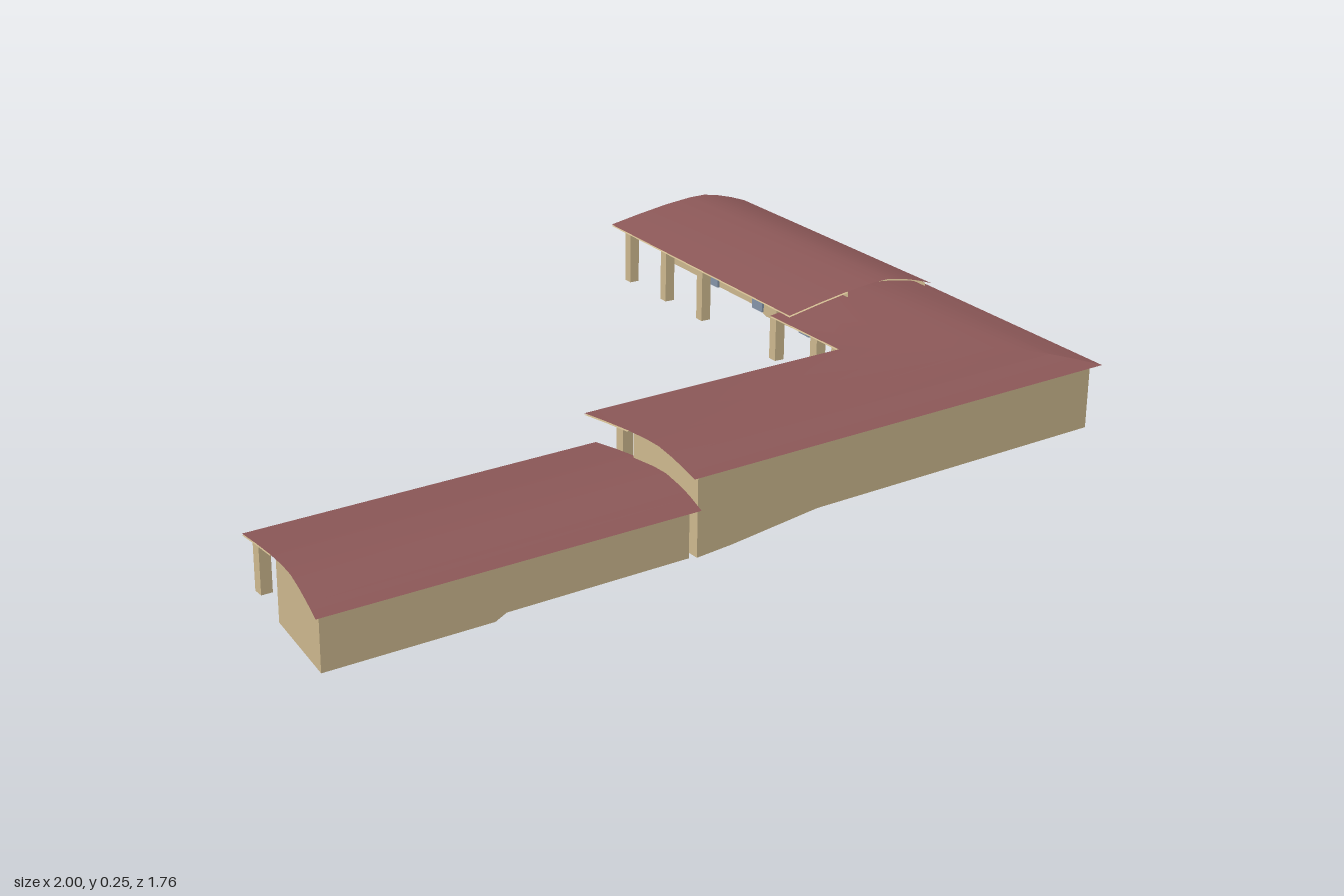
import * as THREE from 'three';
import { toCreasedNormals } from 'three/addons/utils/BufferGeometryUtils.js';

const lerp = THREE.MathUtils.lerp;
// Roof arch: [fraction from outer to inner eave, fraction of rise]
const ARCH = [[0, 0], [0.1, 0.42], [0.2, 0.75], [0.31, 1], [0.42, 0.99], [0.6, 0.78], [0.8, 0.42], [1, 0]];
const OUTER = 0.045, INNER = 0.6;

function arch(t) {
  for (let i = 1; i < ARCH.length; i++) {
    const [a, b] = [ARCH[i - 1], ARCH[i]];
    if (t <= b[0]) return lerp(a[1], b[1], (t - a[0]) / (b[0] - a[0]));
  }
  return 0;
}

// Each section is [outer x, outer z, inner x, inner z]; floor is [section, height]
const WINGS = [
  {
    name: 'lowWing', eave: 0.125, rise: 0.035,
    sections: [[-0.99, 0.88, -1, 0.46], [-0.12, 0.755, -0.16, 0.335]],
    floor: [[0, 0], [0.45, 0], [0.48, 0.013], [1, 0.015]],
    ends: [0.015, 0.98], walls: [0.015, 0.98],
    posts: [0.03, 0.36, 0.68, 0.98], doors: [0.3, 0.75], postBase: 0.01,
  },
  {
    name: 'cornerWing', eave: 0.2, rise: 0.026,
    sections: [[-0.14, 0.76, -0.19, 0.34], [1, 0.58, 0.51, 0.235], [0.945, -0.1, 0.48, -0.035]],
    floor: [[0, 0.01], [0.1, 0.018], [0.3, 0.043], [1, 0.045], [2, 0.045]],
    ends: [0.02, 1.97], walls: [0.02, 1.985],
    posts: [0.1, 0.4, 0.7, 0.98, 1.6], doors: [0.35, 0.6, 0.8], postBase: 0.02,
  },
  {
    name: 'highWing', eave: 0.208, rise: 0.037,
    sections: [[0.95, -0.055, 0.51, 0.005], [0.87, -0.88, 0.44, -0.835]],
    floor: [[0, 0.08], [0.05, 0.077], [0.41, 0.065], [0.47, 0.08], [1, 0.08]],
    ends: [0.98], walls: [0, 0.98],
    posts: [0.14, 0.54, 0.75, 0.965], doors: [0.2, 0.45, 0.7], postBase: 0.05,
  },
];

// Plan and roof height at station s along a wing, fraction t across it
function point(w, s, t, drop = 0) {
  const i = Math.min(Math.floor(s), w.sections.length - 2), k = s - i;
  const c = w.sections[i].map((v, j) => lerp(v, w.sections[i + 1][j], k));
  return new THREE.Vector3(lerp(c[0], c[2], t), w.eave + w.rise * arch(t) - drop, lerp(c[1], c[3], t));
}

function floorAt(w, s) {
  for (let i = 1; i < w.floor.length; i++) {
    const [a, b] = [w.floor[i - 1], w.floor[i]];
    if (s <= b[0]) return lerp(a[1], b[1], (s - a[0]) / (b[0] - a[0]));
  }
  return w.floor.at(-1)[1];
}

// Sheet from rows of points
function sheet(rows) {
  const n = rows[0].length, index = [];
  for (let r = 0; r < rows.length - 1; r++) {
    for (let c = 0; c < n - 1; c++) {
      const a = r * n + c;
      index.push(a, a + 1, a + n, a + 1, a + n + 1, a + n);
    }
  }
  const g = new THREE.BufferGeometry().setFromPoints(rows.flat());
  g.setIndex(index);
  return toCreasedNormals(g, 0.2);
}

export function createModel() {
  const model = new THREE.Group();
  const material = (name, color) => new THREE.MeshStandardMaterial({ name, color, side: THREE.DoubleSide });
  const roofRed = material('roof red', 0x8c5858);
  const wallTan = material('wall tan', 0xcfba90);
  const doorBlue = material('door blue grey', 0x8796aa);

  for (const w of WINGS) {
    const group = new THREE.Group();
    group.name = w.name;
    model.add(group);
    const add = (name, geometry, mat) => {
      const mesh = new THREE.Mesh(geometry, mat);
      mesh.name = name;
      group.add(mesh);
      return mesh;
    };
    const stations = w.sections.map((_, i) => i);
    const ts = ARCH.map((p) => p[0]);

    // Arched roof, and the veranda soffit just under it
    add('roof', sheet(stations.map((s) => ts.map((t) => point(w, s, t)).reverse())), roofRed);
    const soffitTs = ts.filter((t) => t >= INNER);
    add('soffit', sheet(stations.map((s) => soffitTs.map((t) => point(w, s, t, 0.004)))), wallTan);

    // Long walls following the ground
    const [s0, s1] = w.walls;
    const cuts = [s0, ...[...w.floor.map((f) => f[0]), ...stations].filter((s) => s > s0 && s < s1), s1]
      .sort((a, b) => a - b).filter((s, i, all) => s !== all[i - 1]);
    for (const [name, t] of [['outerWall', OUTER], ['innerWall', INNER]]) {
      const top = cuts.map((s) => point(w, s, t, 0.002));
      const bottom = cuts.map((s, i) => top[i].clone().setY(floorAt(w, s)));
      add(name, sheet([bottom, top]), wallTan);
    }

    // Gable walls
    for (const s of w.ends) {
      const across = [OUTER, ...ts.filter((t) => t > OUTER && t < INNER), INNER];
      const top = across.map((t) => point(w, s, t, 0.002));
      const bottom = top.map((p) => p.clone().setY(floorAt(w, s)));
      add('endWall', sheet([bottom, top]), wallTan);
    }

    // Veranda posts
    for (const s of w.posts) {
      const p = point(w, s, 0.89), base = w.postBase;
      const post = add('post', new THREE.BoxGeometry(0.026, p.y - base - 0.004, 0.026), wallTan);
      post.position.set(p.x, (p.y + base - 0.004) / 2, p.z);
      const d = point(w, s + 0.01, 0.89).sub(p);
      post.rotation.y = Math.atan2(-d.z, d.x);
    }

    // Doors on the courtyard side
    for (const s of w.doors) {
      const p = point(w, s, INNER + 0.012), d = point(w, s + 0.01, INNER + 0.012).sub(p);
      const base = floorAt(w, s), height = 0.1;
      const door = add('door', new THREE.BoxGeometry(0.045, height, 0.006), doorBlue);
      door.position.set(p.x, base + height / 2, p.z);
      door.rotation.y = Math.atan2(-d.z, d.x);
    }
  }
  return model;
}
